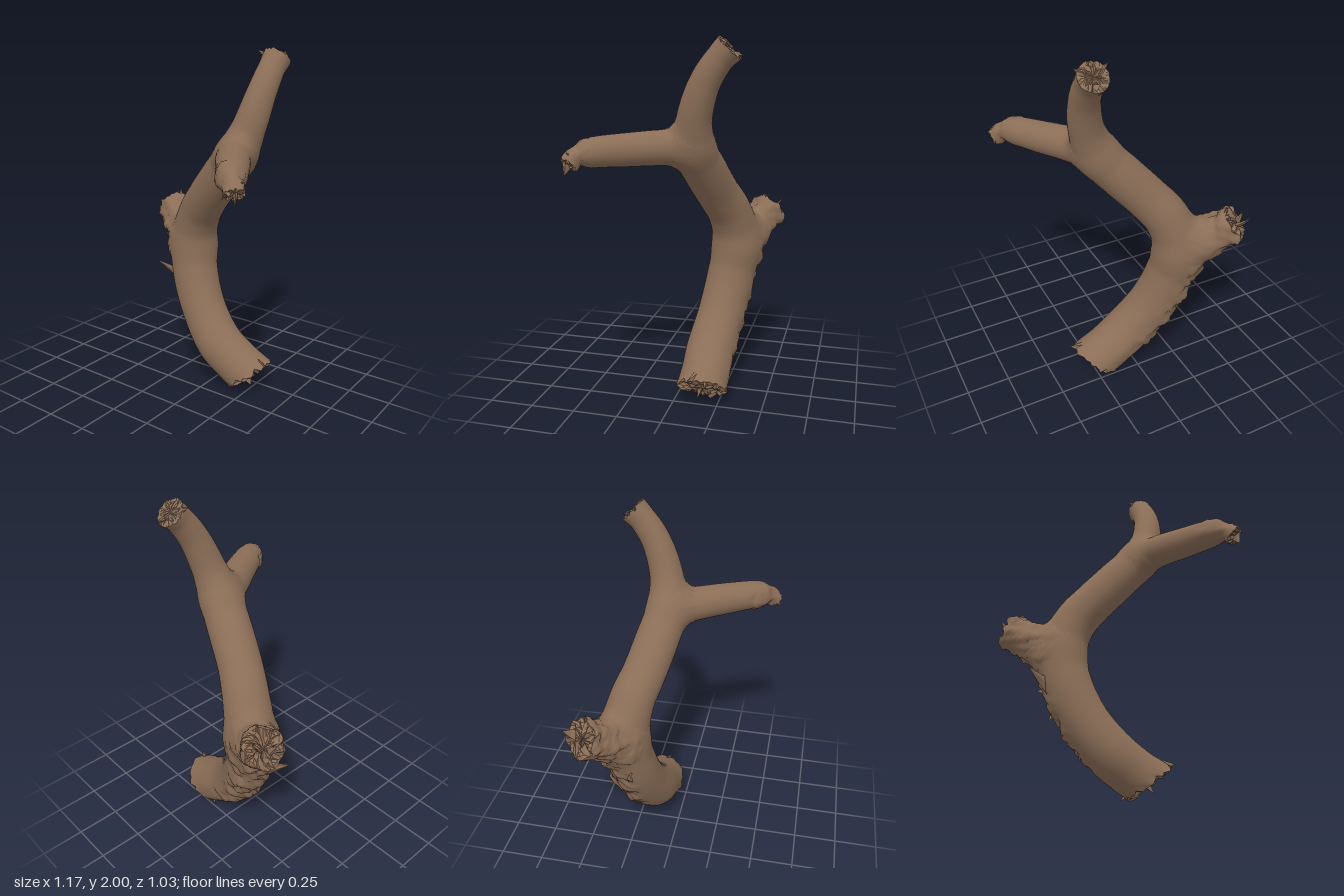
import * as THREE from 'three';

const V = (x, y, z) => new THREE.Vector3(x, y, z);
const { smoothstep, clamp, lerp } = THREE.MathUtils;
const bark = new THREE.MeshStandardMaterial({ color: 0x8b6e57 });
bark.name = 'brown bark';

// Seeded random number between -1 and 1
let seed = 7;
const rnd = () => {
  seed = (seed * 16807) % 2147483647;
  return (seed / 2147483647) * 2 - 1;
};

// Each control point is x, y, z, radius; jag is the raggedness of the foot and the tip
const LIMBS = [
  {
    name: 'trunk', rows: 96, segs: 40, startCap: true, jag: [0.02, 0.007],
    slant: V(0.25, 0.31, 0),
    points: [
      [0.25, 0.105, -0.165, 0.14], [0.15, 0.16, -0.165, 0.138], [0.03, 0.245, -0.165, 0.14],
      [-0.105, 0.41, -0.195, 0.136], [-0.2, 0.61, -0.23, 0.14], [-0.24, 0.83, -0.26, 0.142],
      [-0.175, 1.02, -0.23, 0.128], [-0.075, 1.15, -0.18, 0.122], [0.05, 1.29, -0.135, 0.122],
      [0.17, 1.43, -0.1, 0.118], [0.24, 1.59, -0.115, 0.094], [0.278, 1.78, -0.18, 0.08],
      [0.287, 1.9, -0.26, 0.073], [0.287, 1.948, -0.308, 0.08],
    ],
    // Loose bark covers only the back left of the lower half
    rough: (p, dir) => smoothstep(-0.7 * dir.x - 0.6 * dir.z, 0.3, 0.9)
      * smoothstep(p.y, 0.1, 0.25) * (1 - smoothstep(p.y, 0.85, 1.0)) * 0.017,
  },
  {
    name: 'sideBranch', rows: 44, segs: 32, jag: [0, 0.01],
    points: [
      [0.17, 1.43, -0.09, 0.09], [0.245, 1.44, 0.04, 0.095], [0.355, 1.437, 0.21, 0.088],
      [0.44, 1.432, 0.345, 0.08], [0.472, 1.425, 0.395, 0.066], [0.49, 1.42, 0.42, 0.042],
      [0.514, 1.405, 0.44, 0.05], [0.535, 1.375, 0.46, 0.05],
    ],
    rough: (p) => (p.z > 0.36 ? 0.005 : 0),
  },
  {
    name: 'brokenStub', rows: 30, segs: 36, jag: [0, 0.018],
    points: [
      [-0.23, 0.8, -0.26, 0.12], [-0.34, 0.865, -0.315, 0.118],
      [-0.43, 0.93, -0.365, 0.106], [-0.505, 0.985, -0.415, 0.098],
    ],
    rough: (p) => smoothstep(-p.x, 0.26, 0.42) * 0.011,
  },
];

for (const limb of LIMBS) {
  limb.curve = new THREE.CatmullRomCurve3(limb.points.map((p) => V(p[0], p[1], p[2])));
  limb.radius = (u) => {
    const f = limb.curve.getUtoTmapping(u) * (limb.points.length - 1);
    const i = Math.min(Math.floor(f), limb.points.length - 2);
    return lerp(limb.points[i][3], limb.points[i + 1][3], f - i);
  };
  limb.samples = Array.from({ length: 61 }, (_, i) => ({
    c: limb.curve.getPointAt(i / 60), r: limb.radius(i / 60),
  }));
}

// Distance to all limbs, blended so that the forks get soft fillets
function distance(p) {
  const k = 0.07;
  let d = 10;
  for (const limb of LIMBS) {
    let e = 10;
    for (const s of limb.samples) e = Math.min(e, p.distanceTo(s.c) - s.r);
    const h = Math.max(k - Math.abs(d - e), 0) / k;
    d = Math.min(d, e) - h * h * k * 0.25;
  }
  return d;
}

// Lumpy, ridged bark pattern, slightly raised overall
const lumps = (p) => 0.4 + Math.sin(p.x * 31 + p.y * 17) * Math.sin(p.y * 37 - p.z * 23)
  + 0.6 * Math.sin(p.z * 71 + p.y * 29) * Math.sin(p.x * 63 - p.y * 58) + 0.35 * rnd();

// Skin over closed rings of points
function skin(rows, flat, name) {
  const n = rows[0].length;
  const index = [];
  for (let i = 0; i < rows.length - 1; i++) {
    for (let j = 0; j < n; j++) {
      const a = i * n + j, b = i * n + ((j + 1) % n);
      index.push(a, b, a + n, b, b + n, a + n);
    }
  }
  let g = new THREE.BufferGeometry().setFromPoints(rows.flat());
  g.setIndex(index);
  if (flat) g = g.toNonIndexed();
  g.computeVertexNormals();
  const mesh = new THREE.Mesh(g, bark);
  mesh.name = name;
  return mesh;
}

// Splintered end: rings shrinking to the middle with uneven depth
function endRings(rim, tangent, depth) {
  const centre = rim.reduce((s, p) => s.add(p), V(0, 0, 0)).divideScalar(rim.length);
  return [1, 0.82, 0.6, 0.35, 0].map((s) => rim.map((p) => {
    if (s === 1) return p;
    const q = centre.clone().lerp(p, s);
    return s === 0 ? q : q.addScaledVector(tangent, rnd() * depth).add(V(rnd(), rnd(), rnd()).multiplyScalar(depth * 0.3));
  }));
}

function buildLimb(limb) {
  const group = new THREE.Group();
  group.name = limb.name;
  const { curve, rows, segs } = limb;
  const frames = curve.computeFrenetFrames(rows, false);
  const rings = [];
  for (let i = 0; i <= rows; i++) {
    const u = i / rows, c = curve.getPointAt(u), r = limb.radius(u), tangent = frames.tangents[i];
    const jag = i === 0 ? limb.jag[0] : i === rows ? limb.jag[1] : 0;
    rings.push(Array.from({ length: segs }, (_, j) => {
      const a = (j / segs) * Math.PI * 2;
      const dir = frames.normals[i].clone().multiplyScalar(Math.cos(a))
        .addScaledVector(frames.binormals[i], Math.sin(a));
      let t = r;
      for (let n = 0; n < 7; n++) {
        t = clamp(t - distance(c.clone().addScaledVector(dir, t)), r, r * 1.5);
      }
      const p = c.clone().addScaledVector(dir, t);
      const rough = limb.rough(p, dir);
      if (rough > 0) p.addScaledVector(dir, rough * lumps(p));
      // Oblique break at the foot
      if (limb.slant) p.addScaledVector(tangent, -t * limb.slant.dot(dir) * (1 - smoothstep(u, 0, 0.12)));
      return p.addScaledVector(tangent, jag * rnd()).addScaledVector(dir, jag * 0.3 * rnd());
    }));
  }
  group.add(skin(rings, false, limb.name + 'Bark'));
  group.add(skin(endRings(rings[rows], frames.tangents[rows], limb.jag[1]), true, limb.name + 'BrokenEnd'));
  if (limb.startCap) {
    group.add(skin(endRings(rings[0], frames.tangents[0], limb.jag[0]).reverse(), true, limb.name + 'BrokenFoot'));
  }
  return group;
}

// Thin pointed sliver of bark from base to tip
function flake(base, tip, width) {
  const a = V(...base), b = V(...tip), length = a.distanceTo(b);
  const g = new THREE.ConeGeometry(width, length, 5, 3);
  const pos = g.attributes.position;
  for (let i = 0; i < pos.count; i++) {
    const h = pos.getY(i) / length + 0.5;
    pos.setXYZ(i, pos.getX(i), pos.getY(i), pos.getZ(i) * 0.35 + width * 0.5 * h * h);
  }
  const flat = g.toNonIndexed();
  flat.computeVertexNormals();
  const mesh = new THREE.Mesh(flat, bark);
  mesh.name = 'barkFlake';
  mesh.position.copy(a).lerp(b, 0.5);
  mesh.quaternion.setFromUnitVectors(V(0, 1, 0), b.sub(a).normalize());
  return mesh;
}

export function createModel() {
  seed = 7;
  const model = new THREE.Group();
  model.name = 'brokenBranch';
  for (const limb of LIMBS) model.add(buildLimb(limb));

  // Peeling bark, splinters at the foot, stub, top and side branch
  const flakes = [
    [[-0.31, 0.6, -0.22], [-0.46, 0.69, -0.18], 0.045],
    [[-0.28, 0.6, -0.3], [-0.38, 0.59, -0.29], 0.035],
    [[-0.24, 0.5, -0.28], [-0.31, 0.42, -0.27], 0.035],
    [[-0.17, 0.5, -0.3], [-0.19, 0.44, -0.35], 0.03],
    [[-0.15, 0.36, -0.25], [-0.21, 0.28, -0.24], 0.03],
    [[-0.1, 0.3, -0.24], [-0.12, 0.2, -0.25], 0.03],
    [[-0.34, 0.81, -0.3], [-0.41, 0.75, -0.3], 0.04],
    [[-0.5, 1.0, -0.45], [-0.55, 1.05, -0.51], 0.035],
    [[-0.45, 1.02, -0.39], [-0.45, 1.1, -0.42], 0.035],
    [[-0.53, 0.98, -0.4], [-0.58, 1.03, -0.4], 0.03],
    [[0.33, 0.2, -0.15], [0.395, 0.21, -0.13], 0.035],
    [[0.17, 0.08, -0.22], [0.13, 0.0, -0.25], 0.04],
    [[0.23, 0.1, -0.15], [0.26, 0.04, -0.16], 0.045],
    [[0.2, 0.08, -0.2], [0.19, 0.02, -0.2], 0.04],
    [[0.24, 1.96, -0.28], [0.19, 1.99, -0.28], 0.022],
    [[0.33, 1.96, -0.28], [0.37, 1.99, -0.28], 0.022],
    [[0.29, 1.92, -0.34], [0.3, 1.9, -0.375], 0.022],
    [[0.535, 1.38, 0.46], [0.56, 1.32, 0.47], 0.035],
    [[0.52, 1.39, 0.46], [0.48, 1.36, 0.51], 0.03],
    [[0.535, 1.41, 0.44], [0.575, 1.44, 0.44], 0.025],
    [[0.47, 1.44, 0.38], [0.49, 1.48, 0.42], 0.025],
  ];
  for (const f of flakes) model.add(flake(...f));
  return model;
}
